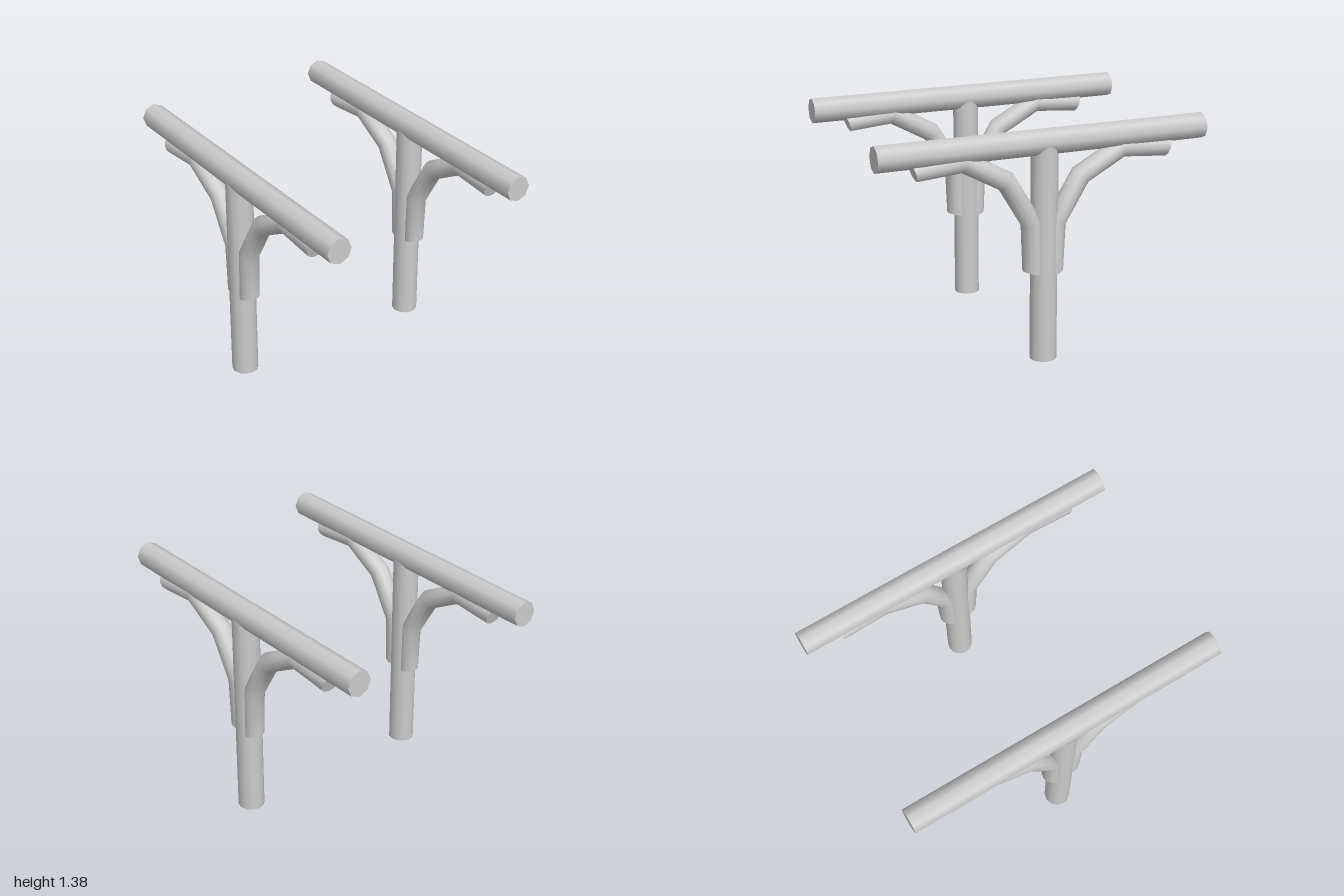
import * as THREE from 'three';
import { toCreasedNormals } from 'three/addons/utils/BufferGeometryUtils.js';

const material = new THREE.MeshStandardMaterial({ color: 0xcccccc });
const openMaterial = new THREE.MeshStandardMaterial({ color: 0xcccccc, side: THREE.DoubleSide });

const BEAM_Y = 1.3, BEAM_R = 0.077, POST_R = 0.079;

function part(name, geometry, mat = material) {
  const mesh = new THREE.Mesh(geometry, mat);
  mesh.name = name;
  return mesh;
}

// Octagonal log lying along z
function beamGeometry() {
  return new THREE.CylinderGeometry(BEAM_R, BEAM_R, 2, 8)
    .rotateX(Math.PI / 2).translate(0, BEAM_Y, 0);
}

// Hollow post whose top rim is saddle-cut to fit the beam
function postGeometry() {
  const geo = new THREE.CylinderGeometry(POST_R, POST_R, 1, 12, 1, true).translate(0, 0.5, 0);
  const pos = geo.attributes.position;
  for (let i = 0; i < pos.count; i++) {
    if (pos.getY(i) < 0.5) continue;
    const x = pos.getX(i);
    const drop = Math.sqrt(Math.max(0, BEAM_R * BEAM_R - x * x));
    pos.setY(i, Math.min(1.29, BEAM_Y - drop));
  }
  return geo;
}

// Bent brace: round rings along a [z, y] path, slanted and capped at both ends
function braceGeometry(side) {
  const r = 0.061, sides = 12;
  const path = [[0.783, 1.21], [0.49, 1.234], [0.237, 1.096], [0.083, 0.84], [0.07, 0.538]]
    .map(([z, y]) => new THREE.Vector3(0, y, z * side));
  const xAxis = new THREE.Vector3(1, 0, 0);
  const dir = (i) => path[i + 1].clone().sub(path[i]).normalize();
  const last = path.length - 1;
  const positions = [], index = [];
  path.forEach((p, i) => {
    let t;
    if (i === 0) t = new THREE.Vector3(0, 0.316, -0.949 * side);
    else if (i === last) t = new THREE.Vector3(0, -0.98, 0.21 * side);
    else t = dir(i - 1).add(dir(i));
    const n = t.normalize().cross(xAxis);
    for (let j = 0; j < sides; j++) {
      const a = (j / sides) * Math.PI * 2;
      const v = p.clone().addScaledVector(xAxis, r * Math.cos(a)).addScaledVector(n, r * Math.sin(a));
      positions.push(v.x, v.y, v.z);
    }
  });
  const startCentre = path.length * sides, endCentre = startCentre + 1;
  positions.push(...path[0].toArray(), ...path[last].toArray());
  for (let j = 0; j < sides; j++) {
    const k = (j + 1) % sides;
    for (let i = 0; i < last; i++) {
      const a = i * sides + j, b = i * sides + k;
      index.push(a, b, a + sides, b, b + sides, a + sides);
    }
    index.push(startCentre, k, j, endCentre, last * sides + j, last * sides + k);
  }
  const geo = new THREE.BufferGeometry();
  geo.setAttribute('position', new THREE.Float32BufferAttribute(positions, 3));
  geo.setIndex(index);
  return toCreasedNormals(geo, 0.9);
}

export function createModel() {
  const model = new THREE.Group();
  model.name = 'timberFrames';
  // Two identical T-shaped frames
  for (const [name, x] of [['leftFrame', 0.607], ['rightFrame', -0.607]]) {
    const frame = new THREE.Group();
    frame.name = name;
    frame.position.x = x;
    const frontBrace = part('frontBrace', braceGeometry(1));
    const backBrace = part('backBrace', braceGeometry(-1));
    frontBrace.position.x = 0.003;
    // The back brace sits slightly lower and closer in
    backBrace.position.set(0.003, -0.011, 0.014);
    frame.add(
      part('beam', beamGeometry()),
      part('post', postGeometry(), openMaterial),
      frontBrace,
      backBrace,
    );
    model.add(frame);
  }
  return model;
}
